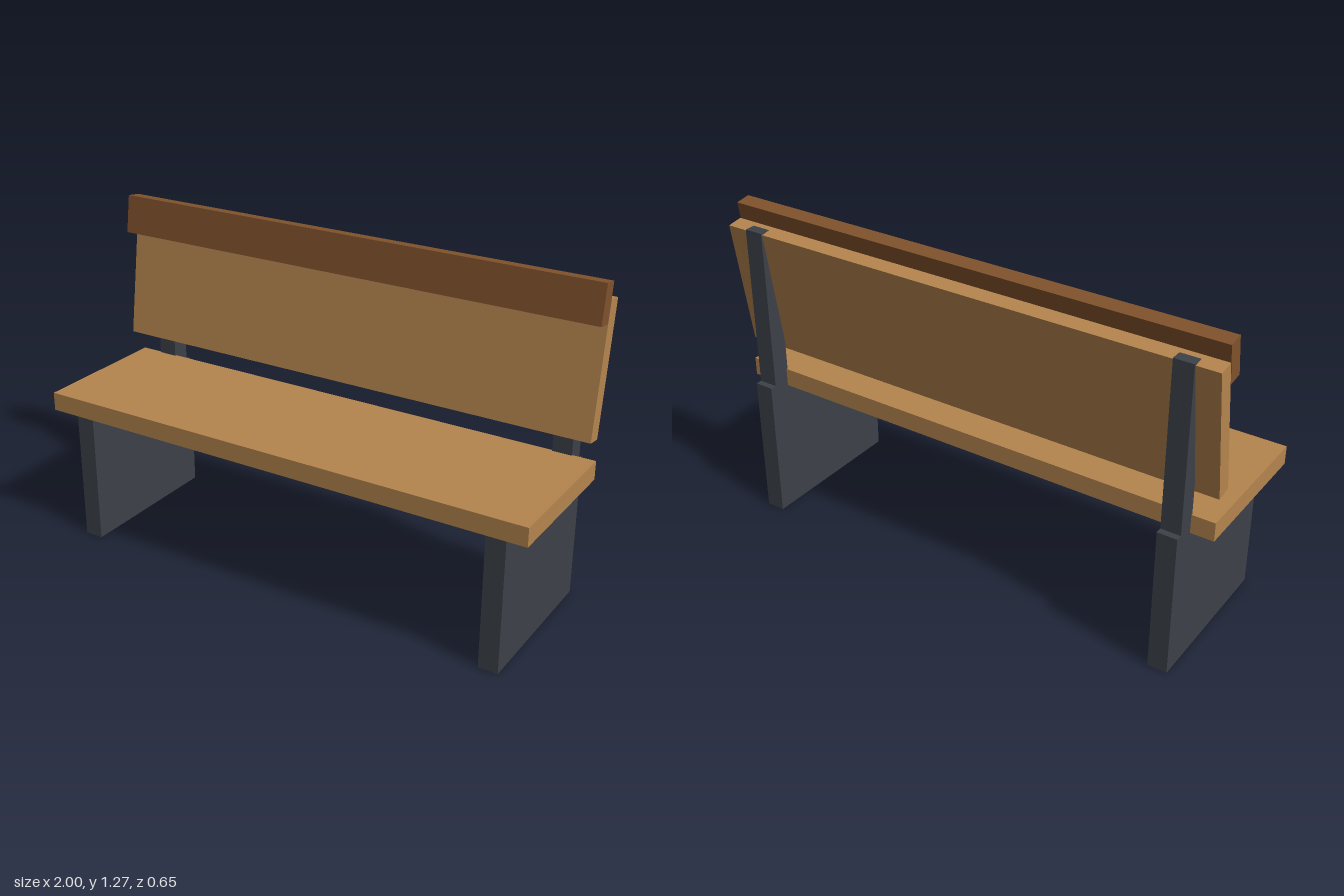
import * as THREE from 'three';

export function createModel() {
  const bench = new THREE.Group();
  bench.name = 'bench';

  const material = (name, color) => {
    const m = new THREE.MeshStandardMaterial({ color });
    m.name = name;
    return m;
  };
  const lightWood = material('light wood', 0xb5854e);
  const darkWood = material('dark wood', 0x80522c);
  const darkMetal = material('dark metal', 0x3d4249);

  const box = (name, mat, [w, h, d], [x, y, z], tilt = 0) => {
    const mesh = new THREE.Mesh(new THREE.BoxGeometry(w, h, d), mat);
    mesh.name = name;
    mesh.position.set(x, y, z);
    mesh.rotation.x = tilt;
    bench.add(mesh);
  };

  // Seat board
  box('seat', lightWood, [2, 0.072, 0.562], [0, 0.571, 0.047]);

  // Backrest and top rail lean backwards together
  const lean = -0.149;
  box('backrest', lightWood, [2, 0.503, 0.061], [0, 0.947, -0.23], lean);
  box('topRail', darkWood, [2, 0.148, 0.06], [0, 1.195, -0.204], lean);

  // Slab legs, each with an upright post behind the backrest
  for (const [side, x] of [['left', 0.875], ['right', -0.875]]) {
    box(`${side}Leg`, darkMetal, [0.075, 0.563, 0.624], [x, 0.2815, -0.015]);
    box(`${side}Post`, darkMetal, [0.075, 0.647, 0.074], [x, 0.8735, -0.265]);
  }

  return bench;
}
